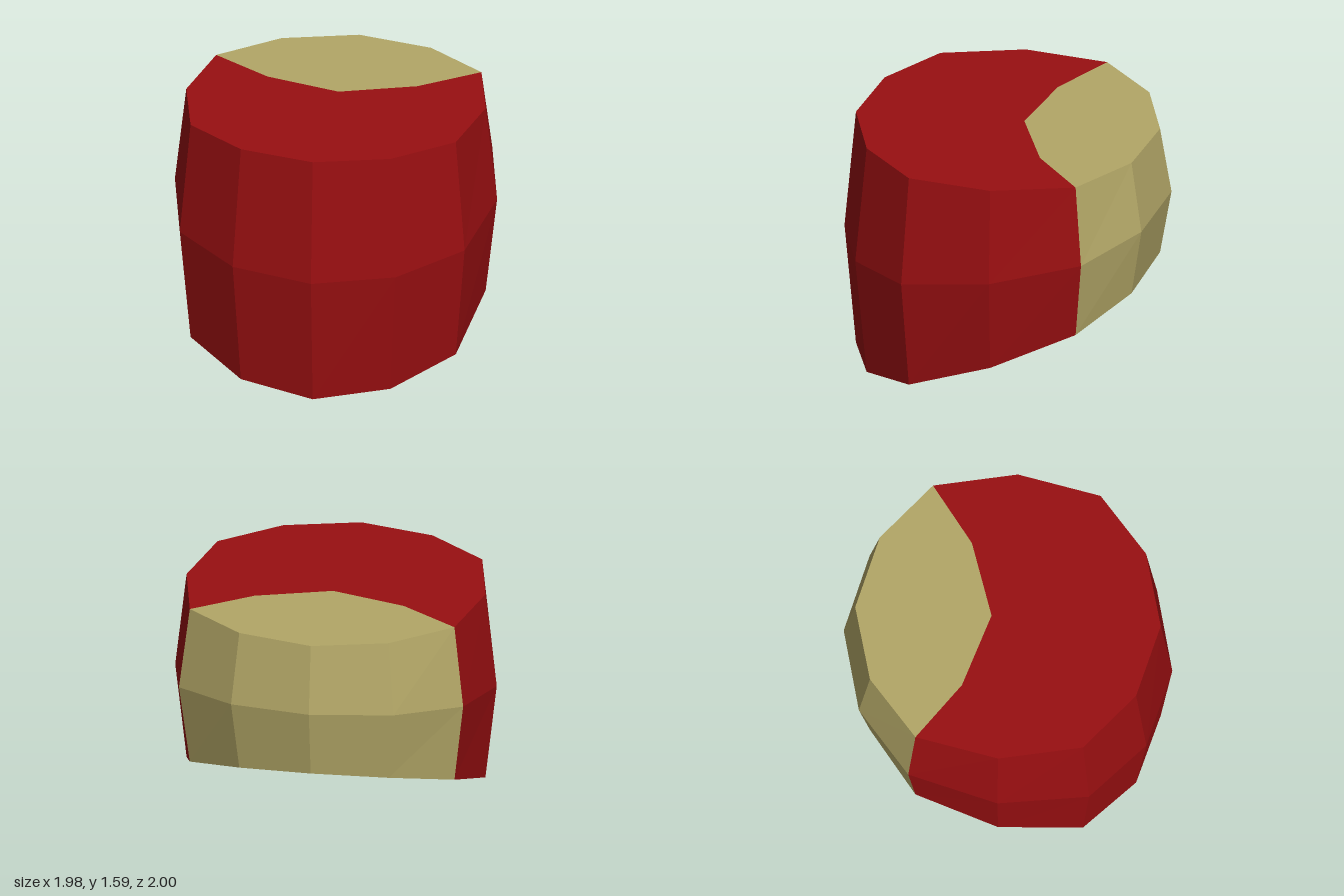
import * as THREE from 'three';

const TOP_Y = 1.59;
// Quarter outlines [x, z], from the front centre round to the left side
const RIM = [[0, 0.93], [0.46, 0.81], [0.815, 0.51], [0.92, 0]];
const BELLY = [[0, 1], [0.5, 0.875], [0.875, 0.55], [0.99, 0]];

// Heights of the slanted base and the tilted widest line
const baseY = z => 0.372 - 0.397 * z;
const bellyY = z => 0.985 - 0.178 * z;

// Mirror a quarter outline into a closed ring of twelve points
function ring(q) {
  const half = [...q, ...q.slice(0, 3).reverse().map(([x, z]) => [x, -z])];
  return [...half, ...half.slice(1, 6).reverse().map(([x, z]) => [-x, z])];
}

// Side wall between two ring corners, counted from the front towards +x
function wall(levels, from, to) {
  const pos = [];
  for (let l = 0; l < levels.length - 1; l++) {
    for (let i = from; i < to; i++) {
      const a = levels[l][i % 12], b = levels[l][(i + 1) % 12];
      const c = levels[l + 1][(i + 1) % 12], d = levels[l + 1][i % 12];
      pos.push(...a, ...b, ...c, ...a, ...c, ...d);
    }
  }
  const g = new THREE.BufferGeometry();
  g.setAttribute('position', new THREE.Float32BufferAttribute(pos, 3));
  g.computeVertexNormals();
  return g;
}

// Flat cap from [x, z] points, laid on a height rule
function cap(points, heightAt, up) {
  const s = up ? -1 : 1;
  const shape = new THREE.Shape(points.map(([x, z]) => new THREE.Vector2(x, s * z)));
  const g = new THREE.ShapeGeometry(shape).rotateX(s * Math.PI / 2);
  const p = g.attributes.position;
  for (let i = 0; i < p.count; i++) p.setY(i, heightAt(p.getZ(i)));
  g.computeVertexNormals();
  return g;
}

export function createModel() {
  const red = new THREE.MeshStandardMaterial({ color: 0x990f11, flatShading: true });
  red.name = 'deep red';
  const tan = new THREE.MeshStandardMaterial({ color: 0xb3a767, flatShading: true });
  tan.name = 'tan';

  const group = new THREE.Group();
  group.name = 'cutBarrel';
  const add = (name, geometry, material) => {
    const m = new THREE.Mesh(geometry, material);
    m.name = name;
    group.add(m);
  };

  const rim = ring(RIM), belly = ring(BELLY);
  const levels = [
    rim.map(([x, z]) => [x, baseY(z), z]),
    belly.map(([x, z]) => [x, bellyY(z), z]),
    rim.map(([x, z]) => [x, TOP_Y, z]),
  ];

  // Walls: tan across the back four panels, red elsewhere
  add('backWall', wall(levels, 4, 8), tan);
  add('frontWall', wall(levels, 8, 16), red);

  // Top, split along a curve that dips towards the middle
  const topSeam = [[-0.46, -0.25], [0, -0.1], [0.46, -0.25]];
  const topY = () => TOP_Y;
  const back = rim.slice(4, 9);
  const front = [...rim.slice(8), ...rim.slice(0, 5)];
  add('topBack', cap([...back, ...topSeam], topY, true), tan);
  add('topFront', cap([...front, ...[...topSeam].reverse()], topY, true), red);

  // Slanted base, with a tan crescent at the back
  const seam = [[-0.8675, -0.255], [-0.46, -0.41], [0, -0.46], [0.46, -0.41], [0.8675, -0.255]];
  add('baseBack', cap([...back, ...seam], baseY, false), tan);
  add('baseFront', cap([...rim.slice(9), ...rim.slice(0, 4), ...[...seam].reverse()], baseY, false), red);

  return group;
}
